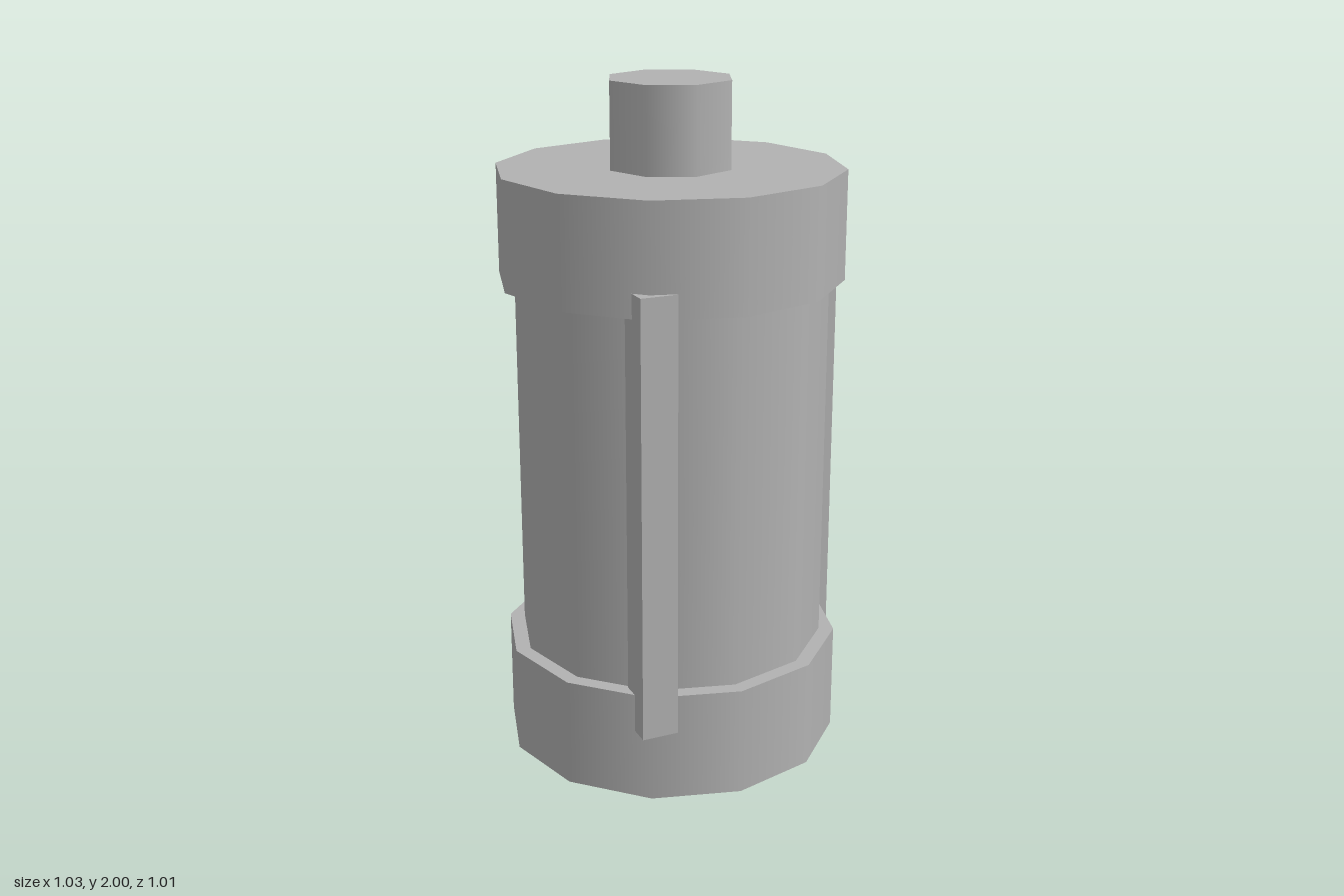
import * as THREE from 'three';

export function createModel() {
  const model = new THREE.Group();
  model.name = 'canister';
  const grey = new THREE.MeshStandardMaterial({ color: 0xb2b2b2 });
  grey.name = 'grey';
  const axisX = -0.01; // the side rib shifts the barrel slightly off centre

  function add(name, geometry, x, y0, y1, z = 0) {
    const mesh = new THREE.Mesh(geometry, grey);
    mesh.name = name;
    mesh.position.set(x, (y0 + y1) / 2, z);
    model.add(mesh);
  }
  const drum = (name, radius, y0, y1, sides) =>
    add(name, new THREE.CylinderGeometry(radius, radius, y1 - y0, sides), axisX, y0, y1);

  // Stacked barrel
  drum('bottomCap', 0.505, 0, 0.325, 12);
  drum('body', 0.46, 0.325, 1.43, 12);
  drum('topCap', 0.505, 1.43, 1.75, 12);
  drum('topStud', 0.184, 1.75, 2, 8);

  // Three square ribs spaced evenly round the body, all kept axis-aligned
  for (let i = 0; i < 3; i++) {
    const a = (i * Math.PI * 2) / 3;
    add('rib' + (i + 1), new THREE.BoxGeometry(0.108, 1.29, 0.108),
      axisX + 0.469 * Math.cos(a), 0.21, 1.5, 0.469 * Math.sin(a));
  }
  return model;
}
